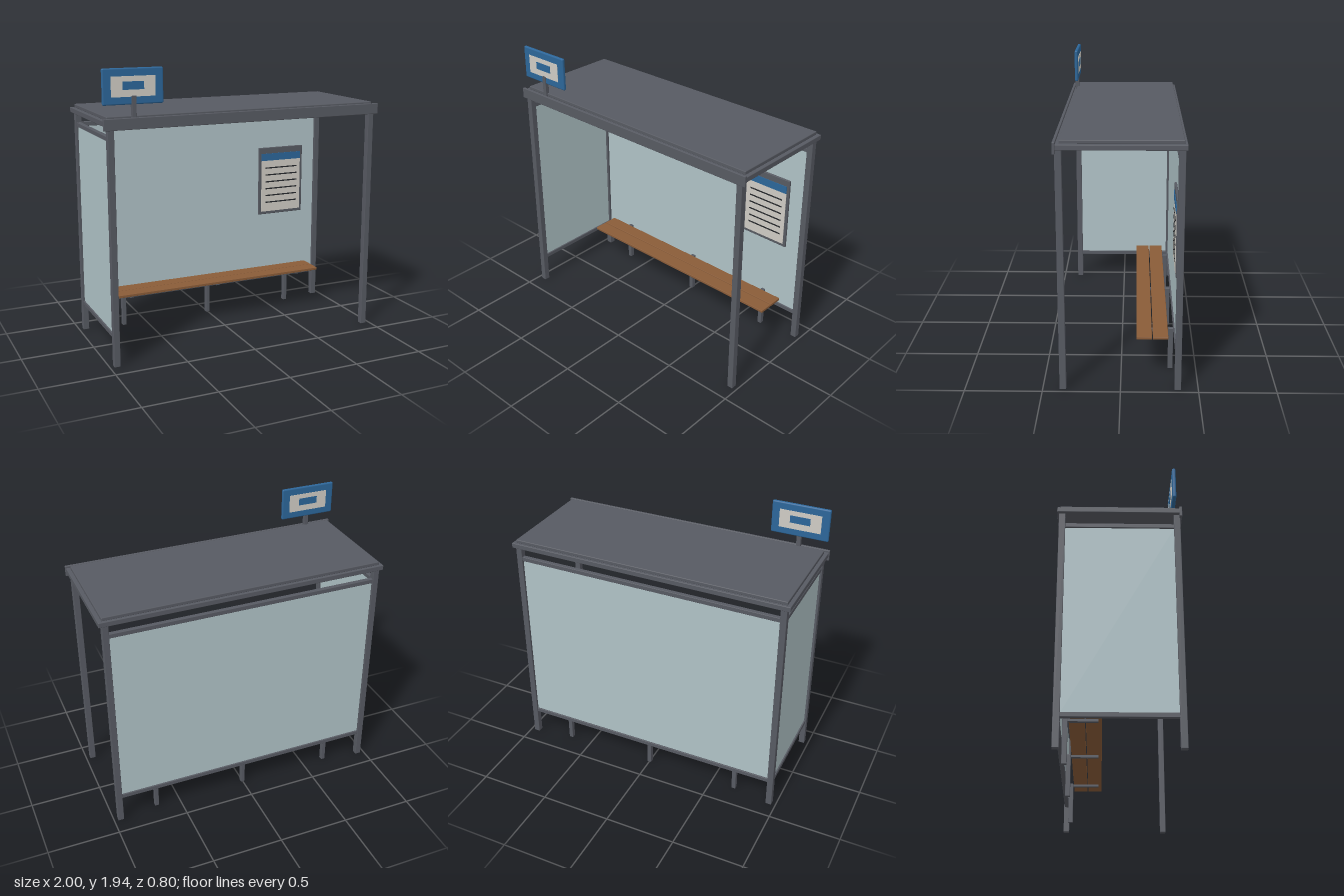
import * as THREE from 'three';
import { RoundedBoxGeometry } from 'three/addons/geometries/RoundedBoxGeometry.js';

const material = (color) => new THREE.MeshStandardMaterial({ color });

export function createModel() {
  const model = new THREE.Group();
  const steel = material(0x575a62);
  const glass = material(0xafc2c6);
  const wood = material(0x8a5c38);
  const blue = material(0x2c6699);
  const paper = material(0xcfccc4);
  const ink = material(0x26282c);

  // Box given by its extents on each axis, with an optional softened edge
  function box(name, mat, [x0, x1], [y0, y1], [z0, z1], radius = 0, parent = model) {
    const size = [x1 - x0, y1 - y0, z1 - z0];
    const geometry = radius
      ? new RoundedBoxGeometry(...size, 2, radius)
      : new THREE.BoxGeometry(...size);
    const mesh = new THREE.Mesh(geometry, mat);
    mesh.name = name;
    mesh.position.set((x0 + x1) / 2, (y0 + y1) / 2, (z0 + z1) / 2);
    parent.add(mesh);
    return mesh;
  }
  function group(name) {
    const g = new THREE.Group();
    g.name = name;
    model.add(g);
    return g;
  }
  const around = (center, width) => [center - width / 2, center + width / 2];

  // Four corner posts
  for (const x of [-0.951, 0.951]) {
    for (const z of [-0.368, 0.37]) {
      box('cornerPost', steel, around(x, 0.042), [0, 1.59], around(z, 0.042), 0.003);
    }
  }

  // Roof: slab, raised cover and front fascia
  const roof = group('roof');
  box('roofSlab', steel, [-0.995, 0.995], [1.587, 1.622], [-0.4, 0.39], 0.004, roof);
  box('roofCover', steel, [-0.97, 0.97], [1.62, 1.645], [-0.382, 0.363], 0.005, roof);
  box('frontFascia', steel, [-1, 1], [1.562, 1.636], [0.384, 0.402], 0.004, roof);

  // Glazed back wall and the single side wall, each between two rails
  const backWall = group('backWall');
  const sideWall = group('sideWall');
  for (const y of [0.205, 1.505]) {
    box('backRail', steel, [-0.935, 0.935], around(y, 0.03), around(-0.368, 0.03), 0.003, backWall);
    box('sideRail', steel, around(-0.951, 0.03), around(y, 0.03), [-0.352, 0.354], 0.003, sideWall);
  }
  box('backGlass', glass, [-0.932, 0.932], [0.215, 1.495], around(-0.368, 0.01), 0, backWall);
  box('sideGlass', glass, around(-0.951, 0.01), [0.215, 1.495], [-0.349, 0.351], 0, sideWall);

  // Bench: two slats on three legs with brackets
  const bench = group('bench');
  for (const z of [-0.152, -0.258]) {
    box('benchSlat', wood, [-0.836, 0.836], [0.288, 0.307], around(z, 0.1), 0.003, bench);
  }
  for (const x of [-0.67, 0, 0.67]) {
    box('benchLeg', steel, around(x, 0.03), [0, 0.294], [-0.345, -0.312], 0.003, bench);
    box('benchBracket', steel, around(x, 0.026), [0.272, 0.289], [-0.33, -0.125], 0, bench);
  }

  // Timetable on the back wall
  const timetable = group('timetable');
  box('timetableFrame', steel, [0.448, 0.822], [0.714, 1.236], [-0.363, -0.347], 0.004, timetable);
  box('timetableSheet', paper, [0.468, 0.802], [0.736, 1.135], [-0.35, -0.344], 0, timetable);
  box('timetableHeader', blue, [0.468, 0.802], [1.135, 1.19], [-0.35, -0.343], 0, timetable);
  for (let i = 0; i < 6; i++) {
    box('timetableLine', ink, [0.503, 0.773], around(1.078 - i * 0.054, 0.009), [-0.346, -0.341], 0, timetable);
  }

  // Roof sign, with its face repeated front and back
  const sign = group('roofSign');
  box('signPost', steel, around(-0.79, 0.03), [1.61, 1.77], [0.348, 0.376], 0.002, sign);
  box('signBoard', blue, [-0.992, -0.592], [1.715, 1.942], around(0.357, 0.024), 0.009, sign);
  box('signPanel', paper, [-0.937, -0.647], [1.764, 1.892], around(0.357, 0.028), 0, sign);
  box('signSymbol', blue, [-0.862, -0.722], [1.808, 1.859], around(0.357, 0.033), 0, sign);

  return model;
}
